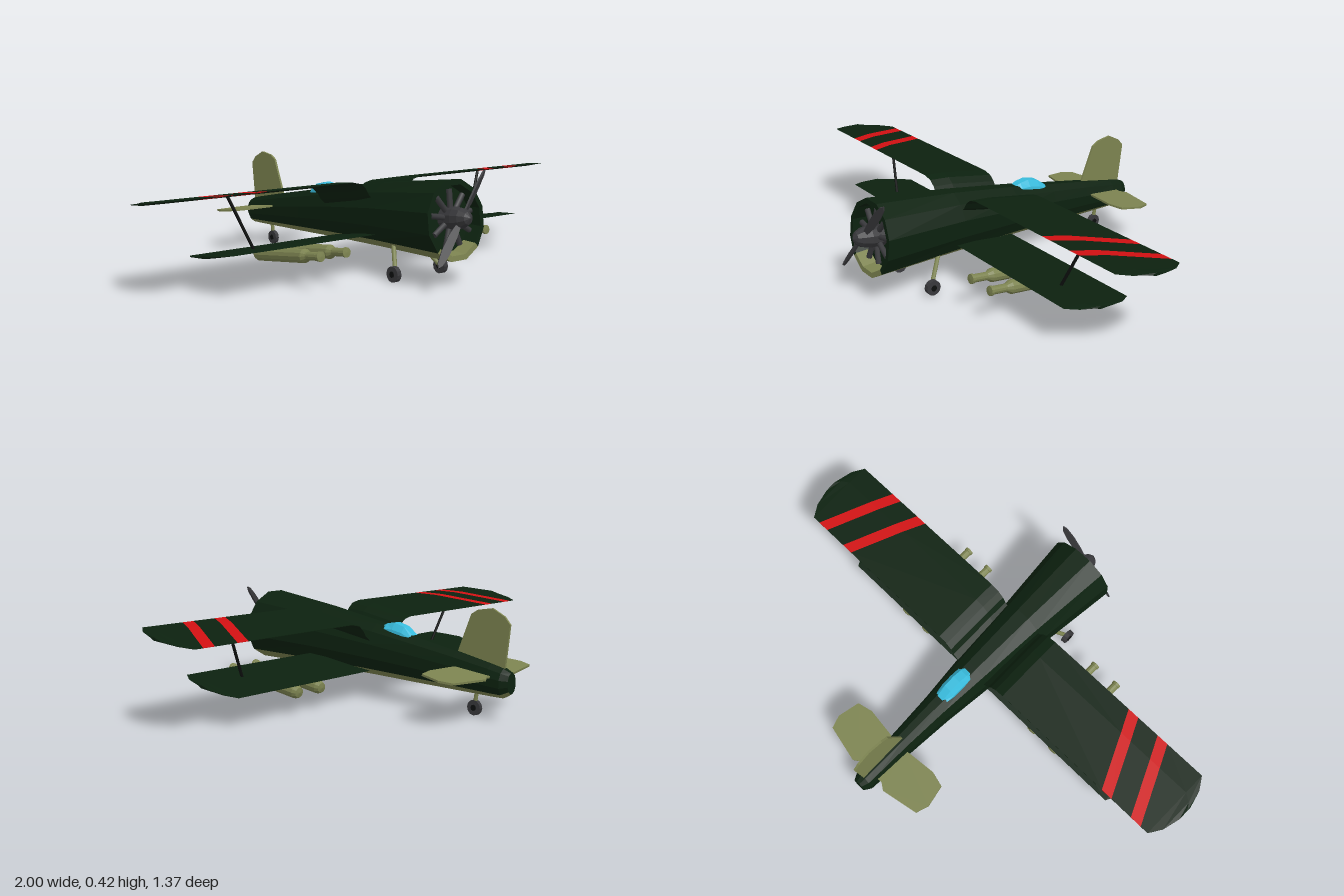
import * as THREE from 'three';

const mat = (name, color) => Object.assign(new THREE.MeshStandardMaterial({ color }), { name });

// Faceted skin through equal-length rings of points; pick(i, j) gives the material index of each panel.
function loft(rings, pick = () => 0) {
  const n = rings[0].length, lists = [[], []];
  let volume = 0;
  const tri = (m, a, b, c) => {
    lists[m].push([a, b, c]);
    volume += a.dot(b.clone().cross(c));
  };
  for (let i = 0; i < rings.length - 1; i++) {
    for (let j = 0; j < n; j++) {
      const k = (j + 1) % n, A = rings[i], B = rings[i + 1], m = pick(i, j);
      tri(m, A[j], A[k], B[k]);
      tri(m, A[j], B[k], B[j]);
    }
  }
  const last = rings[rings.length - 1], first = rings[0];
  for (let j = 1; j < n - 1; j++) {
    tri(0, first[0], first[j + 1], first[j]);
    tri(0, last[0], last[j], last[j + 1]);
  }
  const geo = new THREE.BufferGeometry(), pts = [];
  lists.forEach((list, m) => {
    geo.addGroup(pts.length, list.length * 3, m);
    for (const [a, b, c] of list) pts.push(a, ...(volume < 0 ? [c, b] : [b, c]));
  });
  geo.setFromPoints(pts);
  geo.computeVertexNormals();
  return geo;
}

const V = (x, y, z) => new THREE.Vector3(x, y, z);

export function createModel() {
  const green = mat('dark green', 0x0c210f), olive = mat('olive', 0x7c8350),
    red = mat('red', 0xd01012), glass = mat('sky blue', 0x38bbdc),
    grey = mat('dark grey', 0x38383b), black = mat('black', 0x0d0f0e);
  const model = new THREE.Group();
  const add = (name, geo, material, parent = model) => {
    const mesh = new THREE.Mesh(geo, material);
    mesh.name = name;
    parent.add(mesh);
    return mesh;
  };
  const flat = (g) => {
    const f = g.index ? g.toNonIndexed() : g;
    f.computeVertexNormals();
    return f;
  };
  // Round bar between two points
  const rod = (name, a, b, r, material, parent = model) => {
    const mesh = add(name, new THREE.CylinderGeometry(r, r, a.distanceTo(b), 8), material, parent);
    mesh.position.copy(a).add(b).multiplyScalar(0.5);
    mesh.quaternion.setFromUnitVectors(V(0, 1, 0), b.clone().sub(a).normalize());
    return mesh;
  };
  const plate = (points, depth) => {
    const shape = new THREE.Shape(points.map((p) => new THREE.Vector2(...p)));
    return new THREE.ExtrudeGeometry(shape, { depth, bevelEnabled: false }).translate(0, 0, -depth / 2);
  };

  // Fuselage: z, top, bottom, half width; the first rings form the hollow cowl
  const stations = [
    [0.56, 0.37, 0.125, 0.122], [0.617, 0.375, 0.12, 0.127], [0.617, 0.395, 0.1, 0.145],
    [0.25, 0.354, 0.1, 0.108], [-0.04, 0.31, 0.097, 0.083], [-0.25, 0.273, 0.092, 0.062],
    [-0.44, 0.24, 0.089, 0.05], [-0.6, 0.21, 0.087, 0.045], [-0.655, 0.198, 0.087, 0.042],
    [-0.685, 0.185, 0.105, 0.026],
  ];
  const body = stations.map(([z, top, bottom, w], i) => Array.from({ length: 12 }, (_, j) => {
    const a = (j + 0.5) * Math.PI / 6, k = Math.cos(Math.PI / 12);
    const y = (top + bottom) / 2 - (top - bottom) / 2 * Math.cos(a) / k;
    return V(w * Math.sin(a) / k, y, i < 3 ? z - (y - 0.25) * 0.117 : z);
  }));
  add('fuselage', loft(body, (i, j) => (j === 11 || j === 0 || j === 10 ? 1 : 0)), [green, olive]);

  // Canopy: z, base, top, half width
  const canopy = [[-0.04, 0.275, 0.29, 0.028], [-0.09, 0.27, 0.314, 0.037], [-0.13, 0.262, 0.32, 0.038],
    [-0.18, 0.255, 0.308, 0.037], [-0.232, 0.25, 0.272, 0.03]];
  add('canopy', loft(canopy.map(([z, b, t, w]) => [[-1, 0], [-0.9, 0.55], [-0.45, 1], [0.45, 1], [0.9, 0.55], [1, 0]]
    .map(([x, f]) => V(x * w, b + (t - b) * f, z)))), glass);

  // Engine and propeller share a slightly raised axis
  const engine = new THREE.Group();
  engine.name = 'engine';
  engine.position.set(0, 0.253, 0.6);
  engine.rotation.x = -0.117;
  model.add(engine);
  for (let i = 0; i < 9; i++) {
    const a = i / 9 * Math.PI * 2;
    rod('engineCylinder', V(0, 0, -0.01), V(Math.sin(a) * 0.108, Math.cos(a) * 0.108, -0.01), 0.011, grey, engine);
  }
  const hub = [[0.042, -0.04], [0.044, 0.02], [0.038, 0.05], [0.024, 0.075], [0, 0.088]];
  add('propellerHub', flat(new THREE.LatheGeometry(hub.map((p) => new THREE.Vector2(...p)), 10)
    .rotateX(Math.PI / 2)), grey, engine);
  for (const turn of [0, Math.PI]) {
    const blade = add('propellerBlade', plate([[-0.008, 0.02], [0.008, 0.02], [0.017, 0.08], [0.017, 0.15],
      [0.01, 0.2], [0, 0.216], [-0.01, 0.2], [-0.016, 0.15], [-0.014, 0.08]], 0.007).rotateY(0.5), grey, engine);
    blade.position.z = 0.045;
    blade.rotation.z = turn - 0.7;
  }

  // Wing section from leading to trailing edge; the edge positions may be skewed along the span
  const section = (s, y0, [xL, xT, zL, zT, dy = 0]) => [[0, 0], [0.3, 0.006], [1, 0.001], [1, -0.001], [0.3, -0.006]]
    .map(([t, h]) => {
      const z = zL + (zT - zL) * t;
      return V(s * (xL + (xT - xL) * t), y0 + z * 0.15 + dy + h, z);
    });
  const upper = [
    [0.07, 0.07, 0.25, -0.05, -0.08], [0.1, 0.1, 0.25, -0.05, -0.055], [0.115, 0.115, 0.25, -0.05, -0.03],
    [0.14, 0.14, 0.25, -0.05, -0.009], [0.18, 0.18, 0.25, -0.05], [0.575, 0.715, 0.25, -0.05],
    [0.625, 0.765, 0.25, -0.05], [0.725, 0.865, 0.25, -0.05], [0.775, 0.915, 0.25, -0.05],
    [0.95, 0.95, 0.25, -0.05], [0.982, 0.982, 0.2, 0], [1, 1, 0.13, 0.07],
  ];
  const lower = [[0, 0, 0.28, -0.02], [0.74, 0.74, 0.28, -0.02], [0.768, 0.768, 0.23, 0.03], [0.78, 0.78, 0.16, 0.1]];
  const pod = [[0, -0.172], [0.02, -0.168], [0.027, -0.152], [0.027, 0.135], [0.018, 0.15], [0.016, 0.155],
    [0.016, 0.215], [0.019, 0.217], [0.019, 0.228], [0, 0.23]];
  const stab = [[0.02, -0.46], [0.06, -0.455], [0.18, -0.442], [0.245, -0.458], [0.265, -0.55], [0.247, -0.603],
    [0.09, -0.635], [0.06, -0.615], [0.02, -0.62]];

  const wheel = (name, x, z, r, w) => {
    const turn = new THREE.CylinderGeometry(r, r, w, 12).rotateZ(Math.PI / 2);
    add(name, flat(turn), grey).position.set(x, r, z);
    const cap = new THREE.CylinderGeometry(r * 0.4, r * 0.4, w + 0.006, 8).rotateZ(Math.PI / 2);
    add(name + 'Hub', flat(cap), black).position.set(x, r, z);
  };

  for (const s of [1, -1]) {
    const side = s > 0 ? 'left' : 'right';
    add(side + 'UpperWing', loft(upper.map((p) => section(s, 0.328, p)), (i) => (i === 5 || i === 7 ? 1 : 0)), [green, red]);
    add(side + 'LowerWing', loft(lower.map((p) => section(s, 0.117, p))), green);
    rod(side + 'WingStrut', V(s * 0.665, 0.345, 0.12), V(s * 0.575, 0.14, 0.155), 0.006, black);

    // Underwing pods
    for (const x of [0.32, 0.44]) {
      const mesh = add(side + 'WingPod', flat(new THREE.LatheGeometry(pod.map((p) => new THREE.Vector2(...p)), 12)
        .rotateX(Math.PI / 2)), olive);
      mesh.position.set(s * x, 0.105, 0.15);
      mesh.rotation.x = -0.122;
    }

    // Tailplane
    const tail = add(side + 'Tailplane', plate(stab.map(([x, z]) => [s * x, z + 0.54]), 0.008).rotateX(Math.PI / 2), olive);
    tail.position.set(0, 0.175, -0.54);
    tail.rotation.x = -0.11;

    // Main gear
    rod(side + 'GearLeg', V(s * 0.055, 0.145, 0.34), V(s * 0.118, 0.035, 0.42), 0.009, olive);
    wheel(side + 'Wheel', s * 0.125, 0.42, 0.031, 0.02);
  }

  // Tail fin
  add('tailFin', plate([[0.42, 0.2], [0.44, 0.24], [0.5, 0.388], [0.53, 0.406], [0.595, 0.417], [0.65, 0.39],
    [0.675, 0.362], [0.655, 0.19]], 0.009).rotateY(Math.PI / 2), olive);

  // Tail wheel
  rod('tailWheelLeg', V(0, 0.1, -0.53), V(0, 0.035, -0.52), 0.008, olive);
  wheel('tailWheel', 0, -0.52, 0.03, 0.016);

  return model;
}
